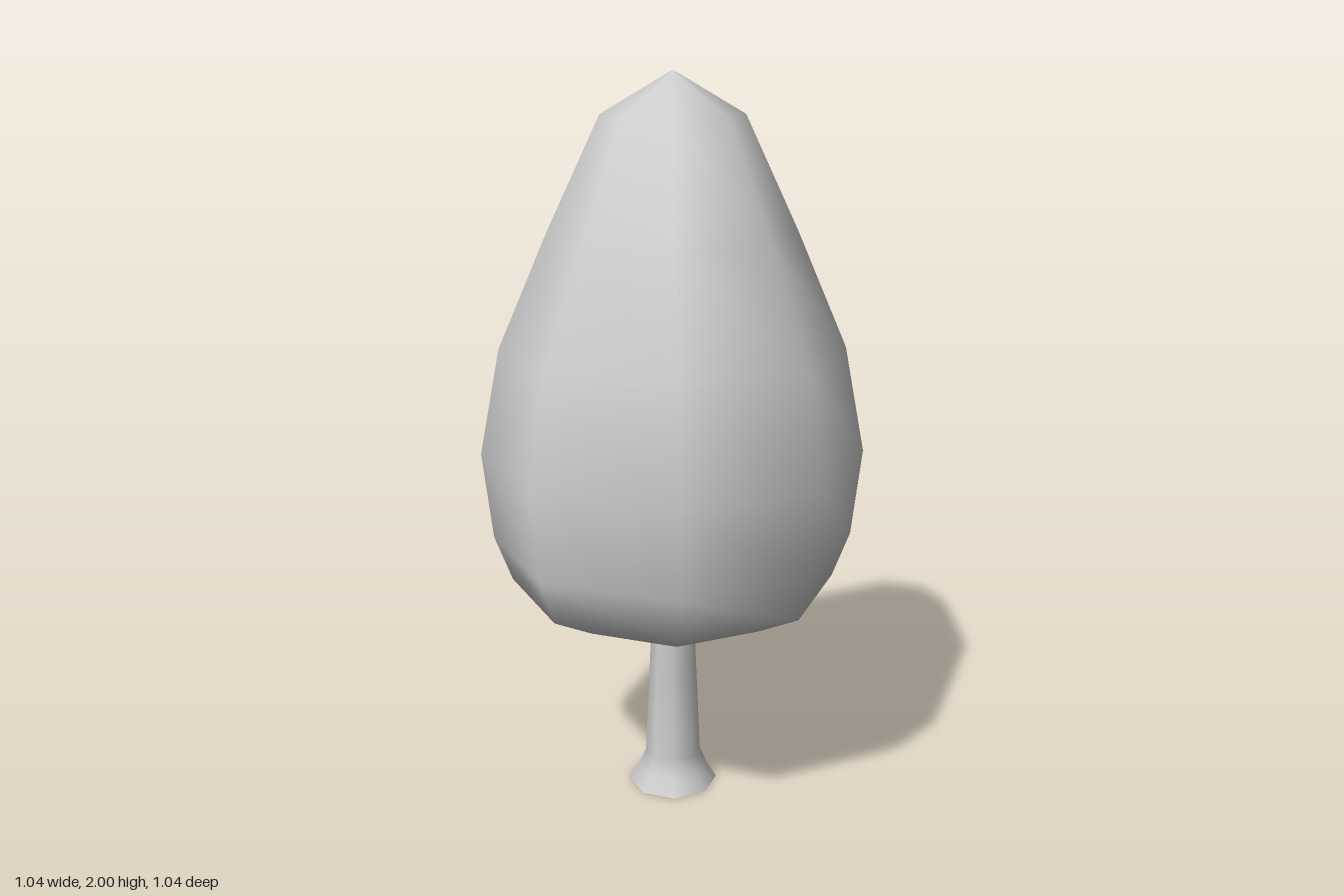
import * as THREE from 'three';

const SIDES = 8;

// Smooth eight-sided solid of revolution from [radius, height] pairs, bottom to top
function turned(name, profile, side = THREE.FrontSide) {
  const points = profile.map(([r, y]) => new THREE.Vector2(r, y));
  const material = new THREE.MeshStandardMaterial({ color: 0xcccccc, side });
  const mesh = new THREE.Mesh(new THREE.LatheGeometry(points, SIDES), material);
  mesh.name = name;
  return mesh;
}

export function createModel() {
  const tree = new THREE.Group();
  tree.name = 'tree';

  // Egg-shaped crown with a flat underside and a pointed top
  const crown = turned('crown', [
    [0, 0.555], [0.317, 0.555], [0.447, 0.625], [0.495, 0.75], [0.522, 0.99],
    [0.465, 1.28], [0.33, 1.59], [0.188, 1.89], [0, 2],
  ]);

  // Open tapering trunk with a flared foot
  const trunk = turned('trunk', [
    [0.126, 0], [0.098, 0.05], [0.078, 0.1], [0.068, 0.32], [0.057, 0.57],
  ], THREE.DoubleSide);

  // Stem sits slightly off the centre of its foot
  const pos = trunk.geometry.attributes.position;
  for (let i = 0; i < pos.count; i++) {
    const shift = 0.008 * Math.min(1, pos.getY(i) / 0.1);
    pos.setX(i, pos.getX(i) - shift);
    pos.setZ(i, pos.getZ(i) + shift);
  }

  tree.add(crown, trunk);
  return tree;
}
